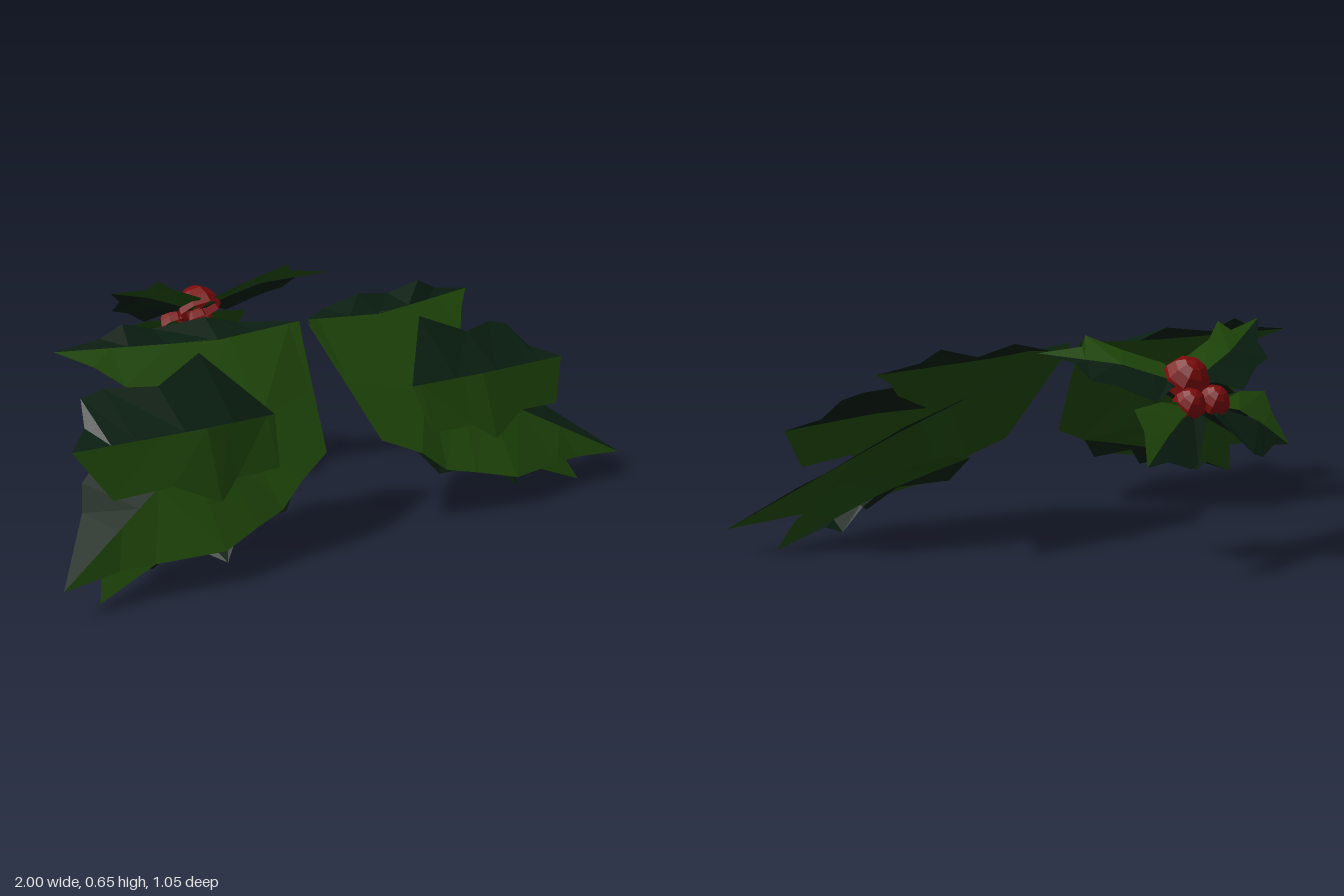
import * as THREE from 'three';

const flat = (color, name) => {
  const m = new THREE.MeshStandardMaterial({ color, side: THREE.DoubleSide, flatShading: true });
  m.name = name;
  return m;
};

export function createModel() {
  const lightGreen = flat(0x214a0b, 'light leaf green');
  const darkGreen = flat(0x0a1f11, 'dark leaf green');
  const berryRed = flat(0x7c090a, 'berry red');
  const model = new THREE.Group();
  model.name = 'hollyDecoration';

  // One half of a leaf: a strip between the midrib and a jagged edge
  function leafHalf(rib, edge, material, name) {
    const pts = [rib[0], ...edge, rib[2]].map(p => new THREE.Vector3(...p));
    const root = pts[0], tip = pts[pts.length - 1];
    const axis = tip.clone().sub(root), len2 = axis.lengthSq();
    // Midrib runs straight from root to middle to tip
    const mid = new THREE.Vector3(...rib[1]);
    const split = mid.clone().sub(root).dot(axis) / len2;
    const onRib = t => t < split
      ? root.clone().lerp(mid, t / split)
      : mid.clone().lerp(tip, (t - split) / (1 - split));
    let last = 0;
    const ribPts = pts.map((p, i) => {
      if (i === 0) return root;
      if (i === pts.length - 1) return tip;
      last = Math.min(0.97, Math.max(last, p.clone().sub(root).dot(axis) / len2));
      return onRib(last);
    });
    const tris = [];
    for (let i = 0; i < pts.length - 1; i++) {
      tris.push(ribPts[i], pts[i], pts[i + 1], ribPts[i], pts[i + 1], ribPts[i + 1]);
    }
    const geo = new THREE.BufferGeometry().setFromPoints(tris);
    geo.computeVertexNormals();
    const mesh = new THREE.Mesh(geo, material);
    mesh.name = name;
    return mesh;
  }

  // A folded two-tone leaf, mirrored across x when side is -1
  function leaf(name, { rib, dark, light }, side) {
    const flip = list => list.map(([x, y, z]) => [x * side, y, z]);
    const g = new THREE.Group();
    g.name = name;
    g.add(leafHalf(flip(rib), flip(dark), darkGreen, 'darkHalf'));
    g.add(leafHalf(flip(rib), flip(light), lightGreen, 'lightHalf'));
    return g;
  }

  // Large overlapping leaves of one side
  const bigLeaves = {
    upperLeaf: {
      rib: [[0.015, 0.57, 0.17], [0.3, 0.55, 0.16], [0.75, 0.56, 0.053]],
      dark: [[0.16, 0.57, 0.065], [0.28, 0.60, 0.08], [0.43, 0.58, 0.043], [0.54, 0.61, 0.06], [0.61, 0.578, 0.057]],
      light: [[0.07, 0.40, 0.29], [0.28, 0.36, 0.34], [0.45, 0.40, 0.28], [0.61, 0.47, 0.18], [0.67, 0.52, 0.12]],
    },
    longLeaf: {
      rib: [[0.015, 0.56, 0.17], [0.5, 0.33, 0.35], [1.0, 0.08, 0.495]],
      dark: [[0.25, 0.47, 0.20], [0.6, 0.38, 0.17], [0.80, 0.26, 0.26], [0.85, 0.21, 0.34]],
      light: [[0.10, 0.25, 0.40], [0.22, 0.20, 0.44], [0.30, 0.14, 0.46], [0.40, 0.12, 0.485], [0.53, 0.09, 0.52], [0.73, 0.09, 0.49], [0.83, 0.09, 0.48]],
    },
    outerLeaf: {
      rib: [[0.25, 0.375, 0.36], [0.5, 0.385, 0.395], [0.88, 0.375, 0.35]],
      dark: [[0.40, 0.54, 0.22], [0.56, 0.48, 0.26], [0.70, 0.485, 0.21], [0.77, 0.47, 0.215], [0.80, 0.41, 0.28]],
      light: [[0.28, 0.245, 0.42], [0.43, 0.245, 0.43], [0.50, 0.20, 0.46], [0.63, 0.26, 0.43], [0.80, 0.25, 0.41]],
    },
    lowerLeaf: {
      rib: [[0.22, 0.20, 0.42], [0.5, 0.14, 0.43], [0.87, 0.005, 0.45]],
      dark: [[0.28, 0.13, 0.45], [0.45, 0.13, 0.47], [0.53, 0.06, 0.525], [0.60, 0.10, 0.42], [0.68, 0.04, 0.40], [0.73, 0.06, 0.41]],
      light: [[0.36, 0.24, 0.33], [0.55, 0.21, 0.34], [0.70, 0.20, 0.36], [0.83, 0.10, 0.40]],
    },
  };

  // Small sprig leaves: x, z and a height offset, y follows the arched sprig
  const arch = [[-0.53, 0.32], [-0.49, 0.40], [-0.42, 0.485], [-0.33, 0.56], [-0.27, 0.60], [-0.17, 0.645]];
  const archY = z => {
    let i = 1;
    while (i < arch.length - 1 && z > arch[i][0]) i++;
    const [[z0, y0], [z1, y1]] = [arch[i - 1], arch[i]];
    return y0 + (y1 - y0) * (z - z0) / (z1 - z0);
  };
  const lift = list => list.map(([x, z, dy = 0]) => [x, archY(z) + dy, z]);
  // The right front leaf reaches a little further than the left one
  const sprigLeaves = frontTip => ({
    frontSprigLeaf: {
      rib: lift([[0.01, -0.36, -0.02], [0.2, -0.31, 0.01], frontTip]),
      dark: lift([[0.08, -0.385], [0.155, -0.417], [0.25, -0.36], [0.32, -0.337], [0.33, -0.28]]),
      light: lift([[0.03, -0.29, -0.02], [0.16, -0.26, 0.01], [0.24, -0.205, 0.025], [0.27, -0.23, 0.01]]),
    },
    backSprigLeaf: {
      rib: lift([[0.01, -0.42, -0.02], [0.12, -0.465, 0.01], [0.255, -0.5, -0.045]]),
      dark: lift([[0.02, -0.465], [0.10, -0.525], [0.13, -0.53], [0.19, -0.508, -0.02]]),
      light: lift([[0.05, -0.425], [0.14, -0.417], [0.235, -0.417, -0.01], [0.23, -0.455, -0.02]]),
    },
  });

  for (const [side, label, frontTip] of [[1, 'left', [0.39, -0.19, -0.02]], [-1, 'right', [0.43, -0.17]]]) {
    for (const [groupName, set] of [['LeafCluster', bigLeaves], ['Sprig', sprigLeaves(frontTip)]]) {
      const g = new THREE.Group();
      g.name = label + groupName;
      for (const [name, data] of Object.entries(set)) g.add(leaf(name, data, side));
      model.add(g);
    }
  }

  // Half-round berries resting on the sloping sprig
  const up = new THREE.Vector3(0, 0.8, -0.6);
  const berries = new THREE.Group();
  berries.name = 'berries';
  for (const [x, y, z, r] of [[0, 0.512, -0.34, 0.075], [0.043, 0.462, -0.412, 0.051], [-0.043, 0.462, -0.412, 0.051]]) {
    const geo = new THREE.SphereGeometry(r, 8, 4, 0, Math.PI * 2, 0, Math.PI / 2);
    geo.scale(0.95, 1.15, 0.95);
    const berry = new THREE.Mesh(geo, berryRed);
    berry.name = 'berry';
    berry.position.set(x, y, z);
    berry.quaternion.setFromUnitVectors(new THREE.Vector3(0, 1, 0), up);
    berries.add(berry);
  }
  model.add(berries);
  return model;
}
